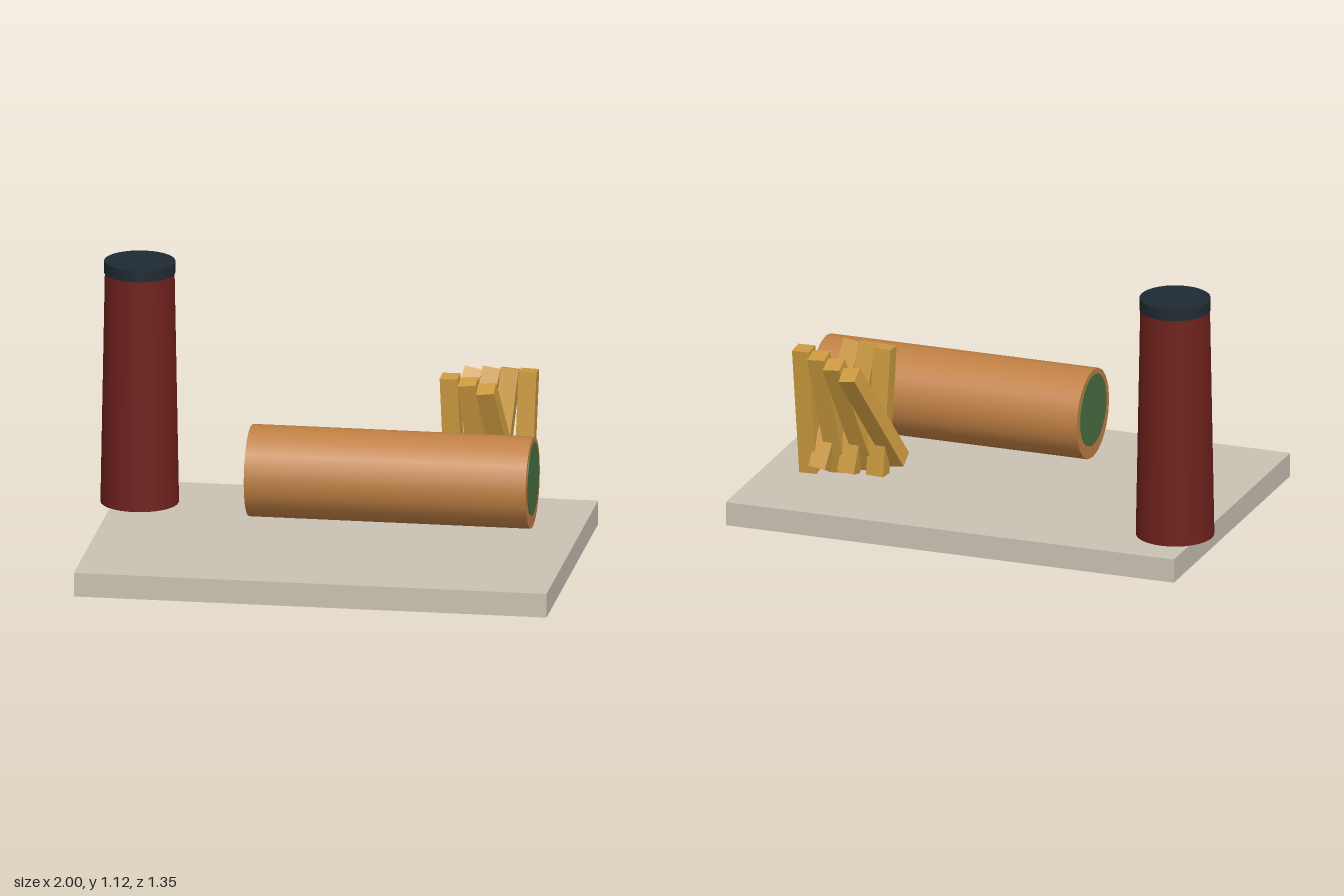
import * as THREE from 'three';

const mat = (color) => new THREE.MeshStandardMaterial({ color });

export function createModel() {
  const model = new THREE.Group();
  const add = (name, geometry, material, x, y, z) => {
    const mesh = new THREE.Mesh(geometry, material);
    mesh.name = name;
    mesh.position.set(x, y, z);
    model.add(mesh);
    return mesh;
  };

  // Ground slab
  add('base', new THREE.BoxGeometry(1.945, 0.1, 1.35), mat(0xcac3b4), 0.0275, 0.05, 0);

  // Tapered tower with a dark cap
  add('tower', new THREE.CylinderGeometry(0.142, 0.16, 0.97, 32), mat(0x6e211c), -0.84, 0.585, -0.38);
  add('towerCap', new THREE.CylinderGeometry(0.145, 0.145, 0.05, 32), mat(0x1f2a32), -0.84, 1.095, -0.38);

  // Horizontal drum with a slightly raised disc set at each end
  const drum = add('drum', new THREE.CylinderGeometry(0.188, 0.188, 1.16, 20), mat(0xc08044), 0.27, 0.392, 0.083);
  drum.rotation.z = Math.PI / 2;
  const green = mat(0x4a7042);
  for (const [name, x] of [['leftEndDisc', 0.849], ['rightEndDisc', -0.309]]) {
    const disc = add(name, new THREE.CylinderGeometry(0.15, 0.15, 0.008, 24), green, x, 0.408, 0.083);
    disc.rotation.z = Math.PI / 2;
  }

  // Sticks fanning from a backward lean to a forward lean, in two rows
  const stickGeometry = new THREE.BoxGeometry(0.074, 0.54, 0.074);
  const wood = mat(0xcc9a40);
  for (let i = 0; i < 7; i++) {
    const back = i < 4;
    const lean = -0.56 + 0.16 * i;
    const x = 0.458 + 0.096 * (back ? i : i - 4);
    const stick = add('stick' + (i + 1), stickGeometry, wood, x, 0.445, back ? -0.408 : -0.318);
    stick.rotation.set(lean, 0, lean * 0.36);
  }

  return model;
}
